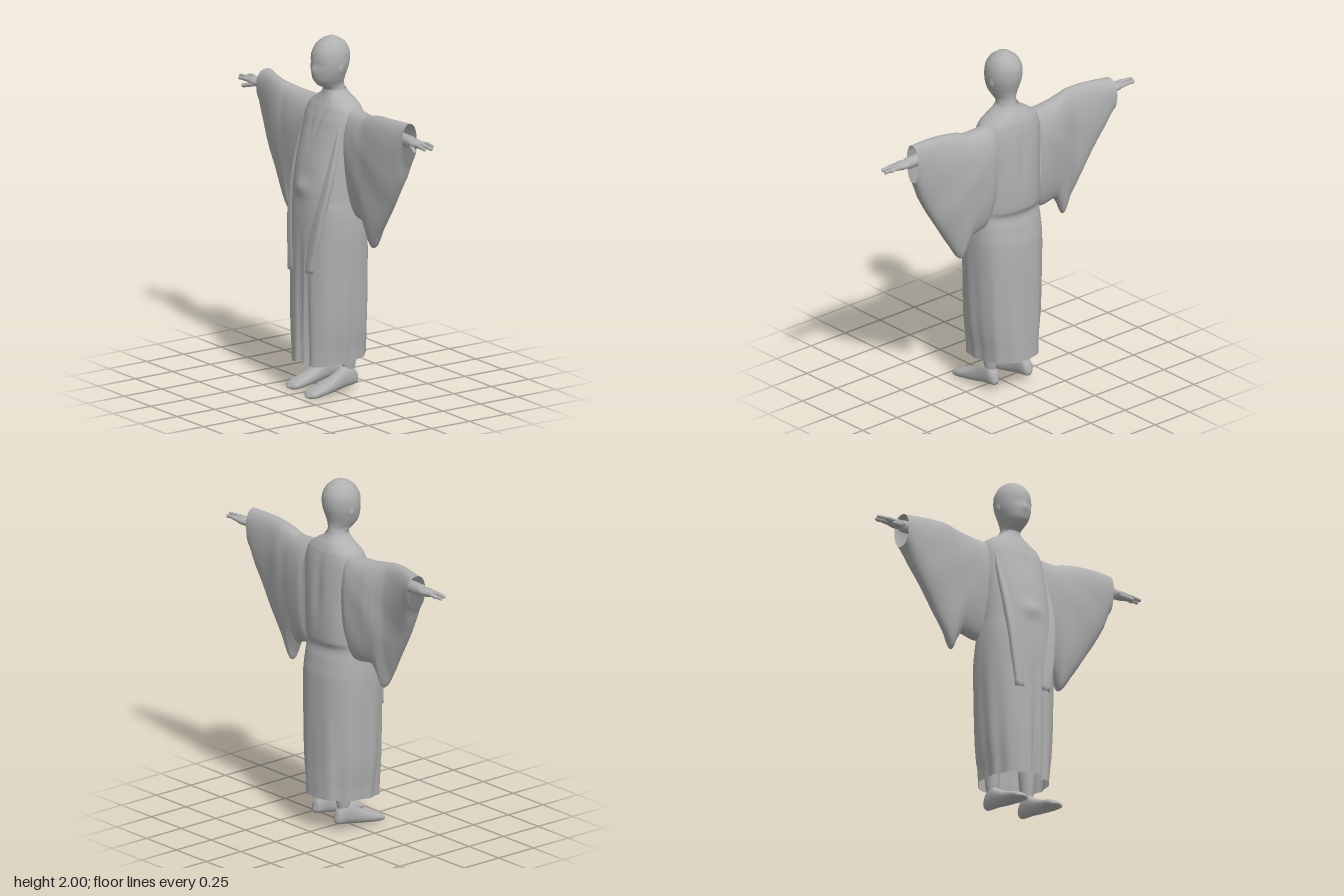
import * as THREE from 'three';

const grey = new THREE.MeshStandardMaterial({ color: 0xb0b0b0, side: THREE.DoubleSide });
grey.name = 'plain grey';

const X = 0, Y = 1, Z = 2;

// Catmull-Rom resampling of every column of a table of sections
function smooth(rows, n = 4) {
  const out = [];
  for (let i = 0; i < rows.length - 1; i++) {
    const p = [rows[Math.max(i - 1, 0)], rows[i], rows[i + 1], rows[Math.min(i + 2, rows.length - 1)]];
    for (let k = 0; k < n; k++) {
      const t = k / n;
      out.push(rows[i].map((_, c) => {
        const [a, b, d, e] = p.map((r) => r[c]);
        if (c === 0) return b + (d - b) * t;
        return 0.5 * (2 * b + (d - a) * t + (2 * a - 5 * b + 4 * d - e) * t * t + (3 * b - a - 3 * d + e) * t * t * t);
      }));
    }
  }
  out.push(rows[rows.length - 1]);
  return out;
}

// Skin of superellipse sections [s, aMin, aMax, bMin, bMax] along an axis; a and b are the next two axes
function loft(name, rows, axis, { sides = 32, power = 2, caps = true, bend } = {}) {
  const pos = [], idx = [];
  const put = (s, a, b) => {
    const v = [0, 0, 0];
    v[axis] = s; v[(axis + 1) % 3] = a; v[(axis + 2) % 3] = b;
    if (bend) bend(v);
    pos.push(...v);
  };
  const curve = (v) => Math.sign(v) * Math.abs(v) ** (2 / power);
  rows.forEach(([s, a0, a1, b0, b1]) => {
    for (let j = 0; j < sides; j++) {
      const t = (j / sides) * Math.PI * 2;
      put(s, (a0 + a1) / 2 + (a1 - a0) / 2 * curve(Math.cos(t)), (b0 + b1) / 2 + (b1 - b0) / 2 * curve(Math.sin(t)));
    }
  });
  for (let i = 0; i < rows.length - 1; i++) {
    for (let j = 0; j < sides; j++) {
      const a = i * sides + j, b = i * sides + (j + 1) % sides;
      idx.push(a, b, b + sides, a, b + sides, a + sides);
    }
  }
  if (caps) {
    [0, rows.length - 1].forEach((i) => {
      const [s, a0, a1, b0, b1] = rows[i], c = pos.length / 3;
      put(s, (a0 + a1) / 2, (b0 + b1) / 2);
      for (let j = 0; j < sides; j++) {
        const a = i * sides + j, b = i * sides + (j + 1) % sides;
        if (i) idx.push(a, b, c); else idx.push(b, a, c);
      }
    });
  }
  const g = new THREE.BufferGeometry();
  g.setAttribute('position', new THREE.Float32BufferAttribute(pos, 3));
  g.setIndex(idx);
  g.computeVertexNormals();
  const m = new THREE.Mesh(g, grey);
  m.name = name;
  return m;
}

function ball(name, x, y, z, sx, sy, sz) {
  const m = new THREE.Mesh(new THREE.SphereGeometry(1, 20, 14), grey);
  m.name = name;
  m.position.set(x, y, z);
  m.scale.set(sx, sy, sz);
  return m;
}

// Rounded rod between two points
function rod(name, a, b, r) {
  const p = new THREE.Vector3(...a), q = new THREE.Vector3(...b), d = q.clone().sub(p);
  const m = new THREE.Mesh(new THREE.CapsuleGeometry(r, d.length(), 5, 12), grey);
  m.name = name;
  m.position.copy(p).add(q).multiplyScalar(0.5);
  m.quaternion.setFromUnitVectors(new THREE.Vector3(0, 1, 0), d.normalize());
  return m;
}

// Robe sections: y, back z, front z, half width
const ROBE = smooth([
  [0.165, -0.22, 0.188, 0.172], [0.4, -0.218, 0.187, 0.197], [0.65, -0.215, 0.184, 0.21],
  [0.89, -0.208, 0.178, 0.219], [1.0, -0.19, 0.174, 0.217], [1.06, -0.178, 0.17, 0.212],
  [1.1, -0.194, 0.167, 0.208], [1.2, -0.2, 0.157, 0.204], [1.31, -0.2, 0.138, 0.2],
  [1.45, -0.194, 0.1, 0.2], [1.55, -0.182, 0.07, 0.197], [1.61, -0.168, 0.045, 0.175],
  [1.65, -0.149, 0.025, 0.119], [1.675, -0.13, 0.015, 0.075], [1.7, -0.117, 0.01, 0.056],
], 5);
const POWER = 2.35;
const gauss = (v, w) => Math.exp(-((v / w) ** 2));

// Height of the robe's front at (x, y)
function frontZ(x, y) {
  const i = Math.max(1, ROBE.findIndex((r) => r[0] >= y)), p = ROBE[i - 1], q = ROBE[i];
  const t = (y - p[0]) / (q[0] - p[0]);
  const [, zb, zf, w] = p.map((v, c) => v + (q[c] - v) * t);
  return (zb + zf) / 2 + (zf - zb) / 2 * Math.max(0, 1 - Math.abs(x / w) ** POWER) ** (1 / POWER);
}

function robeFolds(v) {
  const [x, y, z] = v, low = THREE.MathUtils.clamp((0.95 - y) / 0.7, 0, 1);
  const t = Math.atan2(x, z + 0.015);
  const k = 1 + low * (0.02 * Math.sin(9 * t + 1) + 0.015 * Math.sin(14 * t + y * 2));
  v[X] = x * k;
  v[Z] = -0.015 + (z + 0.015) * (z > 0.12 || z < -0.15 ? 1 + (k - 1) * 0.5 : k);
  if (z > 0.02) {
    // overlapping skirt fronts, gathered sash knot and crossed collar
    v[Z] -= low * (0.035 * gauss(x - 0.003, 0.02) + 0.022 * gauss(x - 0.065, 0.014));
    v[Z] += 0.018 * gauss(x + 0.01, 0.06) * gauss(y - 1.17, 0.045);
    v[Z] -= 0.005 * gauss(Math.abs(x) - 0.055 * (y - 1.35) / 0.3, 0.012) * gauss(y - 1.5, 0.12);
  }
  // centre crease of the back
  if (z < -0.05) v[Z] += 0.01 * gauss(x, 0.03) * gauss(y - 1.4, 0.15);
  if (y < 0.3) v[Y] += 0.03 * (1 - Math.cos(t)) / 2 + (z > 0 ? 0.022 * gauss(x, 0.04) : 0);
}

// Hanging cloth edge lying on the robe's front: path points are [y, x, half width, lift]
function strip(name, path) {
  const rows = smooth(path, 8).map(([y, x, w, lift]) => {
    const z = frontZ(x, y);
    return [y, z - 0.03, z + lift, x - w, x + w];
  });
  return loft(name, rows, Y, { sides: 20, power: 3.5 });
}

// Sleeve sections: distance from the middle, lowest y, highest y, back z, front z
const SLEEVE_LEFT = [
  [0.16, 1.06, 1.618, -0.175, 0.025], [0.2, 1.01, 1.612, -0.186, 0.036], [0.29, 0.985, 1.605, -0.178, 0.04],
  [0.325, 0.92, 1.61, -0.17, 0.04], [0.355, 0.865, 1.62, -0.163, 0.04], [0.42, 0.955, 1.632, -0.152, 0.038],
  [0.5, 1.075, 1.64, -0.13, 0.03], [0.57, 1.185, 1.645, -0.12, 0.017], [0.64, 1.305, 1.648, -0.116, 0],
  [0.695, 1.425, 1.65, -0.114, -0.016],
];
const SLEEVE_RIGHT = [
  [0.16, 1.06, 1.618, -0.175, 0.025], [0.2, 1.015, 1.612, -0.186, 0.034], [0.33, 1.02, 1.615, -0.165, 0.04],
  [0.375, 0.95, 1.622, -0.15, 0.041], [0.4, 0.9, 1.625, -0.14, 0.041], [0.45, 0.98, 1.632, -0.122, 0.04],
  [0.52, 1.1, 1.636, -0.123, 0.03], [0.58, 1.205, 1.638, -0.132, 0.012], [0.65, 1.33, 1.638, -0.147, -0.012],
  [0.71, 1.445, 1.636, -0.163, -0.03],
];

function sleeveFolds(v) {
  const x = Math.abs(v[X]), drop = THREE.MathUtils.clamp((1.6 - v[Y]) / 0.7, 0, 1);
  // narrow towards the hanging point, with creases fanning out from the shoulder
  v[Z] = -0.075 + (v[Z] + 0.075) * (1 - 0.35 * drop);
  const fan = Math.atan2(1.62 - v[Y], x - 0.1);
  v[Z] += 0.006 * Math.sin(fan * 13) * drop * gauss(x - 0.4, 0.25);
}

function arm(s) {
  const g = new THREE.Group(), side = s > 0 ? 'left' : 'right';
  g.name = side + 'Arm';
  const base = smooth(s > 0 ? SLEEVE_LEFT : SLEEVE_RIGHT, 5);
  const rows = s > 0 ? base : base.map(([x, ...r]) => [-x, ...r]).reverse();
  g.add(loft(side + 'Sleeve', rows, X, { sides: 48, power: 2.3, caps: false, bend: sleeveFolds }));
  const z = s > 0 ? -0.06 : -0.068;
  g.add(rod('forearm', [s * 0.6, 1.555, z], [s * 0.72, 1.553, z], 0.033));
  g.add(ball('palm', s * 0.765, 1.555, z, 0.066, 0.023, 0.039));
  // fingers fanned across the palm
  [[0.88, 0.026], [0.897, 0.008], [0.894, -0.011], [0.872, -0.031]].forEach(([tip, dz], i) => {
    const y = 1.552 + (i % 2) * 0.008;
    const knuckle = [s * 0.84, y + 0.004, z + dz * 0.95];
    g.add(rod('fingerBase', [s * 0.785, 1.557, z + dz * 0.85], knuckle, 0.0115));
    g.add(rod('fingerTip', knuckle, [s * tip, y, z + dz], 0.0095));
  });
  g.add(rod('thumb', [s * 0.75, 1.545, z + 0.025], [s * 0.815, 1.528, z + 0.048], 0.012));
  return g;
}

// Foot sections: z, half width (as a span), underside and top
const FOOT = smooth([
  [-0.115, -0.008, 0.008, 0.055, 0.07], [-0.105, -0.026, 0.026, 0.042, 0.11], [-0.075, -0.034, 0.034, 0.036, 0.15],
  [-0.025, -0.037, 0.037, 0.03, 0.15], [0.03, -0.042, 0.042, 0.02, 0.115], [0.1, -0.05, 0.05, 0.01, 0.08],
  [0.17, -0.052, 0.052, 0.002, 0.055], [0.205, -0.044, 0.044, 0.001, 0.038], [0.224, -0.014, 0.014, 0.01, 0.02],
]);

function leg(s) {
  const g = new THREE.Group();
  g.name = s > 0 ? 'leftLeg' : 'rightLeg';
  const foot = loft('foot', FOOT, Z, { sides: 24, power: 2.4 });
  const shin = loft('shin', smooth([
    [0.09, -0.085, -0.025, -0.024, 0.024], [0.16, -0.1, -0.018, -0.034, 0.034], [0.32, -0.112, -0.01, -0.046, 0.046],
  ]), Y, { sides: 20 });
  g.add(foot, shin);
  g.position.set(s > 0 ? 0.125 : -0.09, 0, s > 0 ? 0 : -0.03);
  return g;
}

function head() {
  const g = new THREE.Group();
  g.name = 'head';
  const rows = smooth([
    [1.64, -0.13, 0.005, 0.06], [1.67, -0.122, 0.008, 0.058], [1.705, -0.113, 0.013, 0.053],
    [1.728, -0.109, 0.052, 0.055], [1.76, -0.11, 0.079, 0.071], [1.8, -0.121, 0.087, 0.087],
    [1.84, -0.133, 0.088, 0.097], [1.88, -0.138, 0.086, 0.099], [1.92, -0.134, 0.077, 0.094],
    [1.96, -0.112, 0.052, 0.074], [1.985, -0.078, 0.018, 0.044], [1.997, -0.05, -0.012, 0.017], [2.0, -0.032, -0.03, 0.001],
  ]).map(([y, b, f, w]) => [y, b, f, -w, w]);
  g.add(loft('skull', rows, Y, {
    bend: (v) => { // nose ridge and shallow eye hollows
      if (v[Z] < 0.03) return;
      v[Z] += 0.014 * gauss(v[X], 0.016) * gauss(v[Y] - 1.815, 0.025);
      v[Z] -= 0.005 * gauss(Math.abs(v[X]) - 0.038, 0.022) * gauss(v[Y] - 1.855, 0.02);
    },
  }));
  [-1, 1].forEach((s) => g.add(ball('ear', s * 0.092, 1.835, -0.03, 0.008, 0.03, 0.018)));
  return g;
}

export function createModel() {
  const model = new THREE.Group();
  model.name = 'robedFigure';
  model.add(head());

  const rows = ROBE.map(([y, b, f, w]) => [y, b, f, -w, w]);
  model.add(loft('robe', rows, Y, { sides: 112, power: POWER, caps: false, bend: robeFolds }));

  // Hanging jacket edges, sinking into the robe towards the shoulders
  model.add(strip('rightJacketEdge', [[0.68, -0.095, 0.028, 0.011], [0.9, -0.115, 0.03, 0.011], [1.2, -0.14, 0.028, 0.009], [1.42, -0.15, 0.022, 0.002], [1.52, -0.15, 0.016, -0.004]]));
  model.add(strip('leftJacketEdge', [[0.7, 0.077, 0.028, 0.011], [0.9, 0.11, 0.038, 0.011], [1.2, 0.15, 0.036, 0.009], [1.42, 0.158, 0.024, 0.002], [1.52, 0.155, 0.016, -0.004]]));

  [-1, 1].forEach((s) => model.add(arm(s), leg(s)));
  return model;
}
